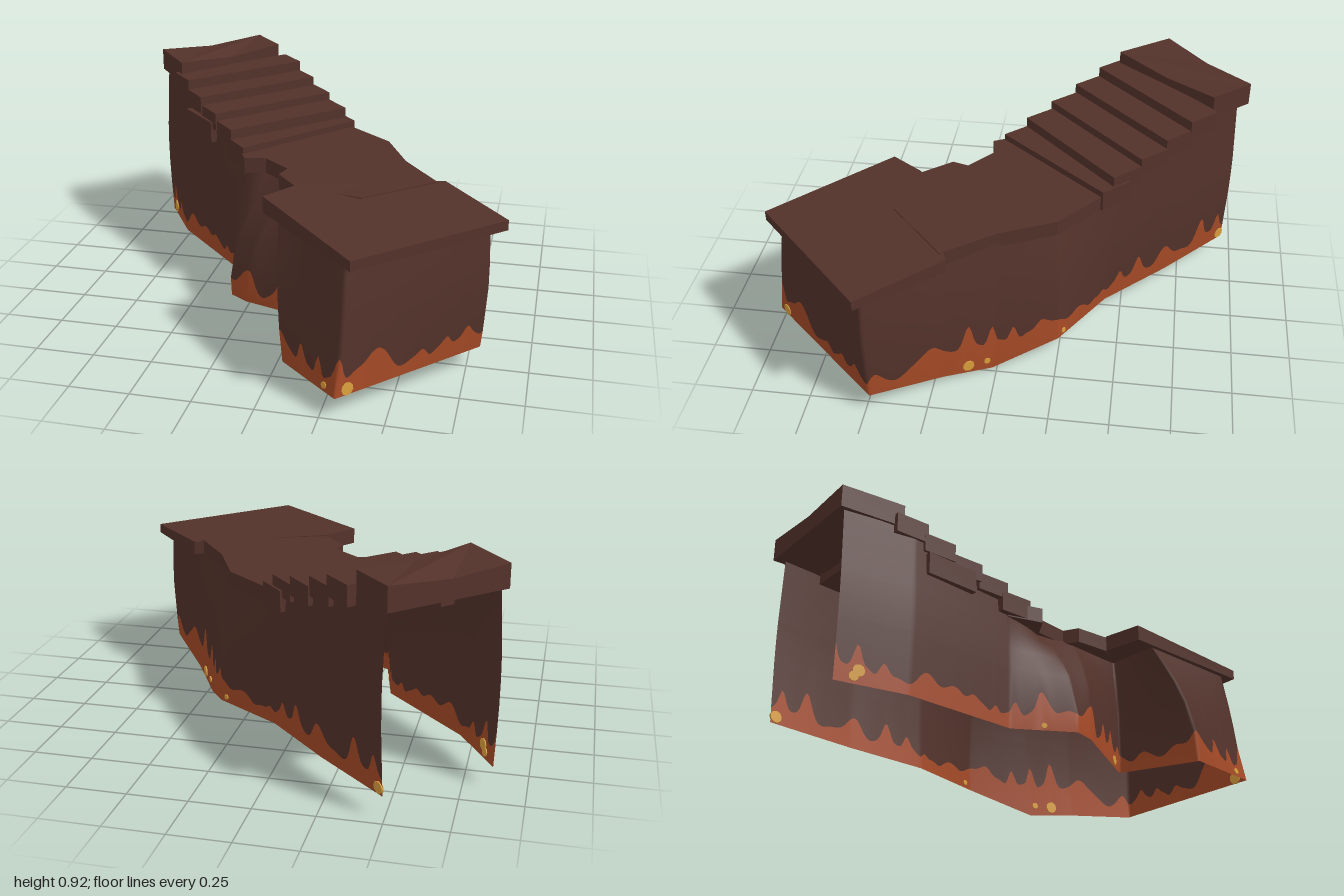
import * as THREE from 'three';
import { toCreasedNormals } from 'three/addons/utils/BufferGeometryUtils.js';

const mat = (name, color, side = THREE.FrontSide) => {
  const m = new THREE.MeshStandardMaterial({ color, side });
  m.name = name;
  return m;
};
const rock = mat('brown rock', 0x53322a);
const rockWall = mat('brown rock wall', 0x53322a, THREE.DoubleSide);
const lava = mat('orange lava', 0xa64a26, THREE.DoubleSide);
const ember = mat('gold ember', 0xdca03c);

// Wall stations around the skirt: bottom x, z, y, top x, z, y, and how late the wall leans
const stations = [
  [-0.49, -0.95, 0.085, -0.49, -0.95, 0.84, 1],
  [-0.2, -0.69, 0.085, -0.2, -0.69, 0.79, 1],
  [0.06, -0.43, 0.085, 0.04, -0.43, 0.68, 1],
  [0.35, -0.25, 0.085, 0.28, -0.22, 0.62, 1],
  [0.48, 0.02, 0, 0.41, 0, 0.62, 1],
  [0.6, 0.21, 0.035, 0.56, 0.2, 0.62, 1],
  [0.8, 0.48, 0.085, 0.81, 0.48, 0.62, 1],
  [0.31, 0.995, 0.085, 0.33, 0.92, 0.62, 0.6],
  [0.055, 0.77, 0.085, 0, 0.58, 0.62, 2],
  [0.18, 0.43, 0.085, 0.15, 0.42, 0.62, 1],
  [-0.22, 0.31, 0.085, -0.03, 0.24, 0.62, 2],
  [-0.3, 0.26, 0.085, -0.15, 0.08, 0.62, 2],
  [-0.36, -0.01, 0.085, -0.33, -0.03, 0.68, 1],
  [-0.71, -0.365, 0.085, -0.69, -0.37, 0.81, 1],
  [-0.865, -0.62, 0.085, -0.86, -0.625, 0.83, 1],
];

// Outward direction at a station
const outward = stations.map((_, i) => {
  const a = stations[Math.max(i - 1, 0)], b = stations[Math.min(i + 1, stations.length - 1)];
  return new THREE.Vector2(b[1] - a[1], a[0] - b[0]).normalize();
});

// Point on the skirt: segment, fraction along it, height y (clamped to the wall)
function wallPoint(seg, f, y) {
  const s = stations[seg].map((v, i) => THREE.MathUtils.lerp(v, stations[seg + 1][i], f));
  const n = outward[seg].clone().lerp(outward[seg + 1], f);
  const k = THREE.MathUtils.clamp((y - s[2]) / (s[5] - s[2]), 0, 1);
  const lean = Math.pow(k, s[6]);
  const bulge = 0.015 * Math.sin(Math.PI * k);
  return new THREE.Vector3(
    THREE.MathUtils.lerp(s[0], s[3], lean) + n.x * bulge,
    THREE.MathUtils.lerp(s[2], s[5], k),
    THREE.MathUtils.lerp(s[1], s[4], lean) + n.y * bulge);
}

// Ragged top of the lava at a distance along the skirt
function lavaTop(d) {
  const spike = Math.pow(Math.abs(Math.sin(d * 21 + 1.2 * Math.sin(d * 9))), 5);
  return 0.152 + 0.02 * Math.sin(d * 13) + 0.012 * Math.sin(d * 47)
    + spike * (0.06 + 0.035 * Math.sin(d * 5.3));
}

function buildSkirt() {
  const columns = [];
  let dist = 0;
  for (let i = 0; i < stations.length - 1; i++) {
    const len = Math.hypot(stations[i + 1][0] - stations[i][0], stations[i + 1][1] - stations[i][1]);
    const n = Math.ceil(len / 0.012);
    for (let j = i ? 1 : 0; j <= n; j++) {
      const h = lavaTop(dist + len * j / n);
      columns.push([-1, h, 0.35, 0.45, 0.54, 2].map(y => wallPoint(i, j / n, y)));
    }
    dist += len;
  }
  const band = (from, to) => {
    const out = [];
    for (let c = 0; c < columns.length - 1; c++) {
      for (let r = from; r < to; r++) {
        const a = columns[c][r], b = columns[c + 1][r], p = columns[c][r + 1], q = columns[c + 1][r + 1];
        for (const v of [a, p, b, b, p, q]) out.push(v.x, v.y, v.z);
      }
    }
    return out;
  };
  const low = band(0, 1), high = band(1, 5);
  const geo = new THREE.BufferGeometry();
  geo.setAttribute('position', new THREE.Float32BufferAttribute(low.concat(high), 3));
  const smooth = toCreasedNormals(geo, 1.75);
  smooth.addGroup(0, low.length / 3, 0);
  smooth.addGroup(low.length / 3, high.length / 3, 1);
  const mesh = new THREE.Mesh(smooth, [lava, rockWall]);
  mesh.name = 'rockSkirt';
  return mesh;
}

// Flat stone from a plan outline of [x, z]; top may be a number or a rule of x and z
function slab(name, outline, bottom, top) {
  const shape = new THREE.Shape(outline.map(([x, z]) => new THREE.Vector2(x, -z)));
  const geo = new THREE.ExtrudeGeometry(shape, { depth: 1, bevelEnabled: false });
  geo.rotateX(-Math.PI / 2);
  const p = geo.attributes.position;
  for (let i = 0; i < p.count; i++) {
    const t = typeof top === 'number' ? top : top(p.getX(i), p.getZ(i));
    p.setY(i, p.getY(i) > 0.5 ? t : bottom);
  }
  geo.computeVertexNormals();
  const mesh = new THREE.Mesh(geo, rock);
  mesh.name = name;
  return mesh;
}

export function createModel() {
  const group = new THREE.Group();
  group.name = 'rockStairs';
  group.add(buildSkirt());

  // Low landing, tilted slightly down to the front
  group.add(slab('lowLanding', [[0.6, 0.18], [0.88, 0.49], [0.36, 0.985], [-0.08, 0.53], [0.02, 0.39]],
    0.607, (x, z) => 0.69 - 0.03 * (x + z)));

  // Middle landing with a notched edge
  group.add(slab('middleLanding', [[-0.27, 0.12], [-0.18, 0.1], [-0.06, 0.2], [-0.08, 0.27], [0.02, 0.39],
    [0.3, 0.45], [0.57, 0.21], [0.41, 0], [0.3, -0.23], [0.08, -0.41], [-0.1, -0.3], [-0.34, -0.02]],
    0.605, 0.672));

  // Steps: front left x, z, front right x, z, bottom, top
  const steps = [
    [-0.29, 0.07, 0.11, -0.4, 0.61, 0.7],
    [-0.37, -0.02, 0.06, -0.44, 0.67, 0.745],
    [-0.47, -0.12, -0.04, -0.55, 0.7, 0.78],
    [-0.57, -0.22, -0.14, -0.65, 0.74, 0.82],
    [-0.66, -0.32, -0.23, -0.75, 0.78, 0.865],
  ];
  steps.forEach(([lx, lz, rx, rz, bottom, top], i) => {
    const dx = -0.1, dz = -0.11;
    group.add(slab('step' + (i + 1),
      [[lx, lz], [rx, rz], [rx + dx, rz + dz], [lx + dx, lz + dz]], bottom, top));
  });

  // Top landing, sagging along its middle
  group.add(slab('topLanding', [[-0.72, -0.41], [-0.54, -0.63], [-0.36, -0.84], [-0.5, -1],
    [-0.7, -0.81], [-0.89, -0.63]], 0.82, (x, z) => 0.9 + 0.05 * Math.abs(x - z - 0.1)));

  // Small stone jutting from the side under the steps
  group.add(slab('sideStone', [[-0.67, -0.31], [-0.5, -0.14], [-0.44, -0.2], [-0.61, -0.37]], 0.635, 0.73));

  // Ember spots set through the wall: segment, fraction, height, radius
  const spots = [[0, 0.06, 0.115, 0.026], [2, 0.9, 0.11, 0.012], [4, 0.12, 0.05, 0.014],
    [4, 0.5, 0.055, 0.026], [6, 0.93, 0.11, 0.027], [7, 0.2, 0.11, 0.014], [9, 0.2, 0.115, 0.02],
    [11, 0.5, 0.105, 0.012], [13, 0.68, 0.14, 0.025], [13, 0.74, 0.115, 0.02]];
  for (const [seg, f, y, r] of spots) {
    const c = wallPoint(seg, f, y);
    const along = wallPoint(seg, f + 0.02, y).sub(wallPoint(seg, f - 0.02, y));
    const up = wallPoint(seg, f, y + 0.02).sub(c);
    const normal = up.cross(along).normalize();
    const disc = new THREE.Mesh(new THREE.CylinderGeometry(r, r, 0.009, 9), ember);
    disc.quaternion.setFromUnitVectors(new THREE.Vector3(0, 1, 0), normal);
    disc.position.copy(c);
    disc.name = 'emberSpot';
    group.add(disc);
  }
  return group;
}
